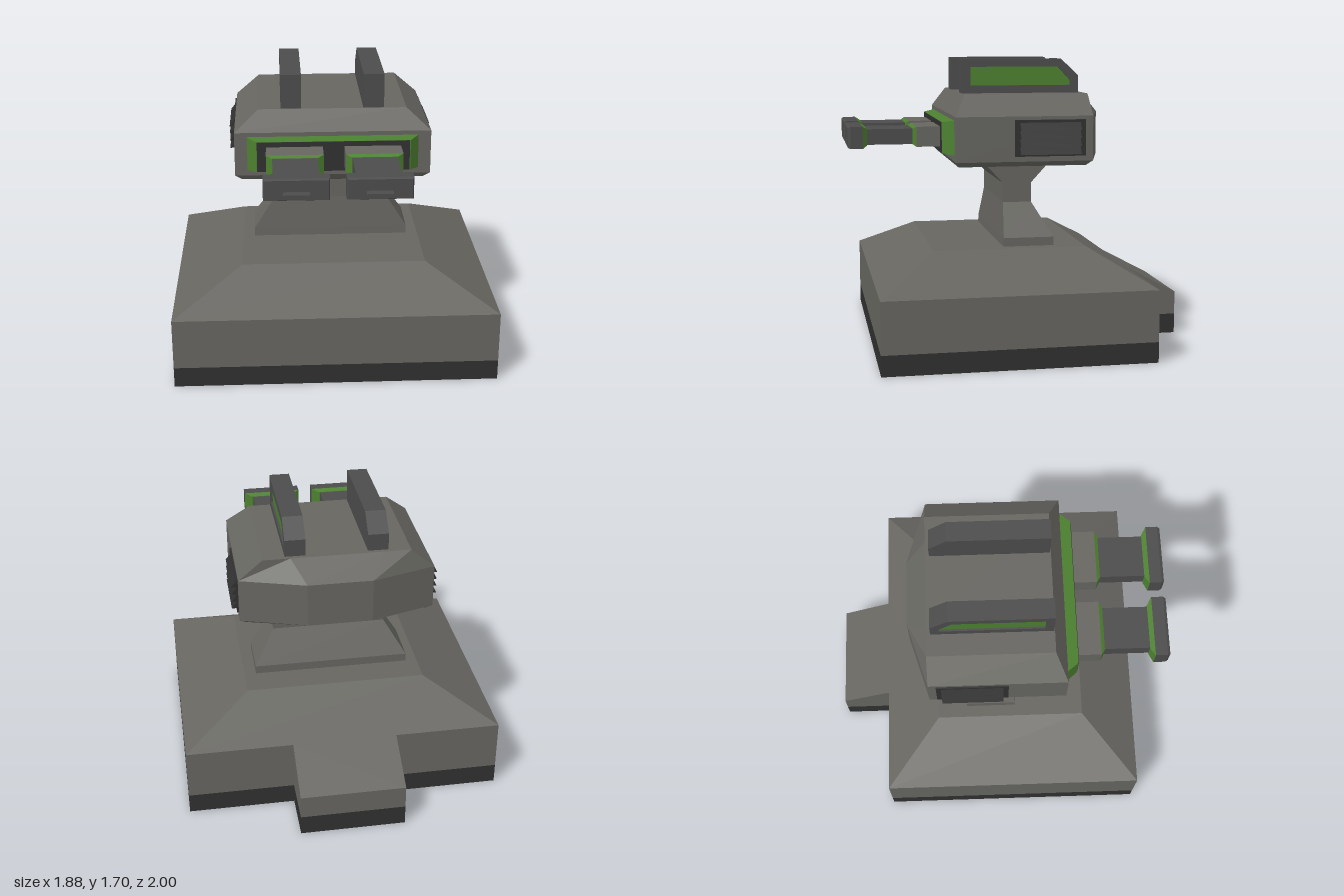
import * as THREE from 'three';

const paint = (color) => new THREE.MeshStandardMaterial({ color, flatShading: true, side: THREE.DoubleSide });

// Joins rings of [x, y, z] corners (counter-clockwise seen from the last ring) and caps both ends
function loft(rings) {
  const pos = [];
  const tri = (...corners) => corners.forEach((c) => pos.push(...c));
  const n = rings[0].length;
  for (let r = 0; r < rings.length - 1; r++) {
    const a = rings[r], b = rings[r + 1];
    for (let i = 0; i < n; i++) {
      const j = (i + 1) % n;
      tri(a[i], a[j], b[j]);
      tri(a[i], b[j], b[i]);
    }
  }
  const first = rings[0], last = rings[rings.length - 1];
  for (let i = 1; i < n - 1; i++) {
    tri(first[0], first[i + 1], first[i]);
    tri(last[0], last[i], last[i + 1]);
  }
  const geo = new THREE.BufferGeometry();
  geo.setAttribute('position', new THREE.Float32BufferAttribute(pos, 3));
  geo.computeVertexNormals();
  return geo;
}

// Level rectangle at height y
const flat = (y, x, front, back) => [[x, y, front], [x, y, back], [-x, y, back], [-x, y, front]];
// Upright rectangle facing +z
const upright = (z, cx, cy, hx, hy) => [
  [cx - hx, cy - hy, z], [cx + hx, cy - hy, z], [cx + hx, cy + hy, z], [cx - hx, cy + hy, z]];
// Outline of [z, y] points placed at x
const sideways = (x, outline) => outline.map(([z, y]) => [x, y, z]);
// Swaps left and right, keeping faces outward
const mirror = (rings) => rings.map((ring) => ring.map(([x, y, z]) => [-x, y, z]).reverse());

export function createModel() {
  const model = new THREE.Group();
  const body = paint(0x666560);
  const steel = paint(0x4c4c4c);
  const dark = paint(0x303030);
  const green = paint(0x4c8030);

  const add = (name, rings, material, parent = model) => {
    const mesh = new THREE.Mesh(loft(rings), material);
    mesh.name = name;
    parent.add(mesh);
  };

  // Base with a dark foot band and a sloping rear step
  add('baseFoot', [flat(0, 0.94, 0.87, -0.7), flat(0.12, 0.94, 0.87, -0.7)], dark);
  add('baseBlock', [flat(0.12, 0.94, 0.87, -0.7), flat(0.42, 0.94, 0.87, -0.7),
    flat(0.61, 0.54, 0.53, -0.37)], body);
  add('rearStepFoot', [flat(0, 0.31, -0.7, -1), flat(0.12, 0.31, -0.7, -1)], dark);
  const step = [[-0.7, 0.12], [-1, 0.12], [-1, 0.26], [-0.7, 0.42]];
  add('rearStep', [sideways(-0.31, step), sideways(0.31, step)], body);

  // Waisted neck
  add('neck', [flat(0.61, 0.47, 0.11, -0.19), flat(0.66, 0.47, 0.107, -0.19),
    flat(0.855, 0.345, 0.09, -0.08), flat(0.97, 0.345, 0.09, -0.08),
    flat(1.09, 0.345, 0.2, -0.19)], body);

  // Head with bevelled top and three-sided back
  const headRing = (y, x, front, side, midX, back) => [
    [x, y, front], [x, y, side], [midX, y, back], [-midX, y, back], [-x, y, side], [-x, y, front]];
  add('head', [
    headRing(1.09, 0.53, 0.38, -0.37, 0.19, -0.37),
    headRing(1.12, 0.57, 0.4, -0.4, 0.19, -0.515),
    headRing(1.38, 0.57, 0.4, -0.4, 0.19, -0.515),
    headRing(1.5, 0.43, 0.33, -0.4, 0.27, -0.4),
  ], body);

  // Tapered front panel with a dark face
  add('panelRim', [upright(0.39, 0, 1.255, 0.505, 0.102), upright(0.465, 0, 1.255, 0.445, 0.09)], green);
  add('panelFace', [upright(0.46, 0, 1.255, 0.44, 0.089), upright(0.468, 0, 1.255, 0.44, 0.089)], dark);

  for (const s of [1, -1]) {
    const side = s > 0 ? 'left' : 'right';
    const place = (rings) => (s > 0 ? rings : mirror(rings));

    // Gun barrel
    const gun = new THREE.Group();
    gun.name = side + 'Gun';
    model.add(gun);
    const cx = s * 0.225, cy = 1.257;
    const box = (z, hx, hy) => upright(z, cx, cy, hx, hy);
    add('barrelMount', [box(0.46, 0.163, 0.058), box(0.605, 0.163, 0.058)], body, gun);
    add('mountBevel', [box(0.605, 0.163, 0.058), box(0.625, 0.13, 0.046)], green, gun);
    add('barrel', [box(0.61, 0.127, 0.045), box(0.9, 0.127, 0.045)], steel, gun);
    add('muzzleBevel', [box(0.888, 0.135, 0.048), box(0.915, 0.18, 0.063)], green, gun);
    add('muzzle', [box(0.915, 0.18, 0.063), box(0.985, 0.18, 0.063), box(1, 0.172, 0.056),
      box(1, 0.073, 0.028), box(0.95, 0.073, 0.028)], steel, gun);

    // Roof fin with a recessed panel on its outer side
    const fin = [[0.325, 1.5], [-0.375, 1.5], [-0.375, 1.6], [-0.27, 1.7], [0.325, 1.7]];
    const inset = [[0.275, 1.545], [-0.325, 1.545], [-0.325, 1.575], [-0.25, 1.655], [0.275, 1.655]];
    add(side + 'Fin', place([sideways(0.18, fin), sideways(0.3, fin), sideways(0.3, inset),
      sideways(0.285, inset)]), steel);
    add(side + 'FinPanel', place([sideways(0.27, inset), sideways(0.288, inset)]), green);

    // Side vent with four louvres
    const frame = [[0.06, 1.15], [-0.355, 1.15], [-0.355, 1.36], [0.06, 1.36]];
    const opening = [[0.03, 1.16], [-0.325, 1.16], [-0.325, 1.345], [0.03, 1.345]];
    add(side + 'VentFrame', place([sideways(0.56, frame), sideways(0.58, frame),
      sideways(0.58, opening), sideways(0.572, opening)]), dark);
    for (let i = 0; i < 4; i++) {
      const y = 1.162 + i * 0.046;
      const slat = (z) => [[0.57, y, z], [0.608, y, z], [0.572, y + 0.044, z]];
      add(side + 'Louvre', place([slat(-0.325), slat(0.03)]), dark);
    }
  }
  return model;
}
